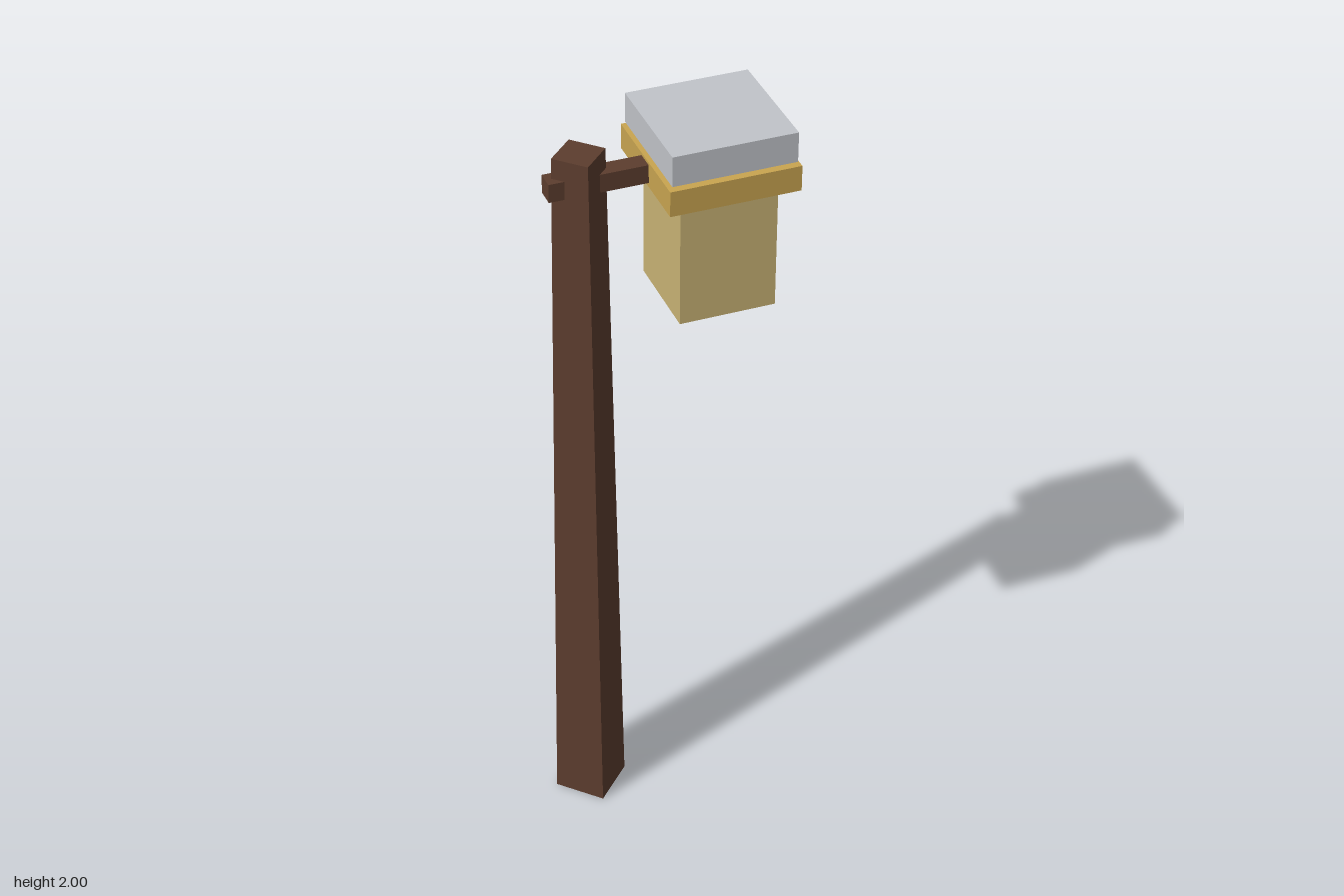
import * as THREE from 'three';

export function createModel() {
  const group = new THREE.Group();
  group.name = 'lampPost';

  const material = (name, color) => {
    const m = new THREE.MeshStandardMaterial({ color });
    m.name = name;
    return m;
  };
  const wood = material('dark wood', 0x5c3d2e);
  const brass = material('brass', 0xc9a550);
  const glass = material('warm glass', 0xc9b375);
  const metal = material('pale metal', 0xc1c4c9);

  const add = (name, geometry, mat, x, y) => {
    const mesh = new THREE.Mesh(geometry, mat);
    mesh.name = name;
    mesh.position.set(x, y, 0);
    group.add(mesh);
  };
  // Box given by its x range, y range and depth
  const box = (name, mat, x0, x1, y0, y1, depth) =>
    add(name, new THREE.BoxGeometry(x1 - x0, y1 - y0, depth), mat, (x0 + x1) / 2, (y0 + y1) / 2);

  // Tapered four-sided post, corners towards the axes, with flat faces
  const postHeight = 1.96;
  const post = new THREE.CylinderGeometry(0.066, 0.097, postHeight, 4).toNonIndexed();
  post.computeVertexNormals();
  add('post', post, wood, -0.197, postHeight / 2);

  // Arm through the post, ending inside the collar
  box('arm', wood, -0.279, 0.05, 1.859, 1.907, 0.048);

  // Lantern: three separate blocks with small gaps between them
  box('lanternGlass', glass, 0.007, 0.251, 1.515, 1.839, 0.244);
  box('lanternCollar', brass, -0.034, 0.292, 1.848, 1.914, 0.326);
  box('lanternLid', metal, -0.026, 0.284, 1.922, 2.0, 0.31);

  return group;
}
